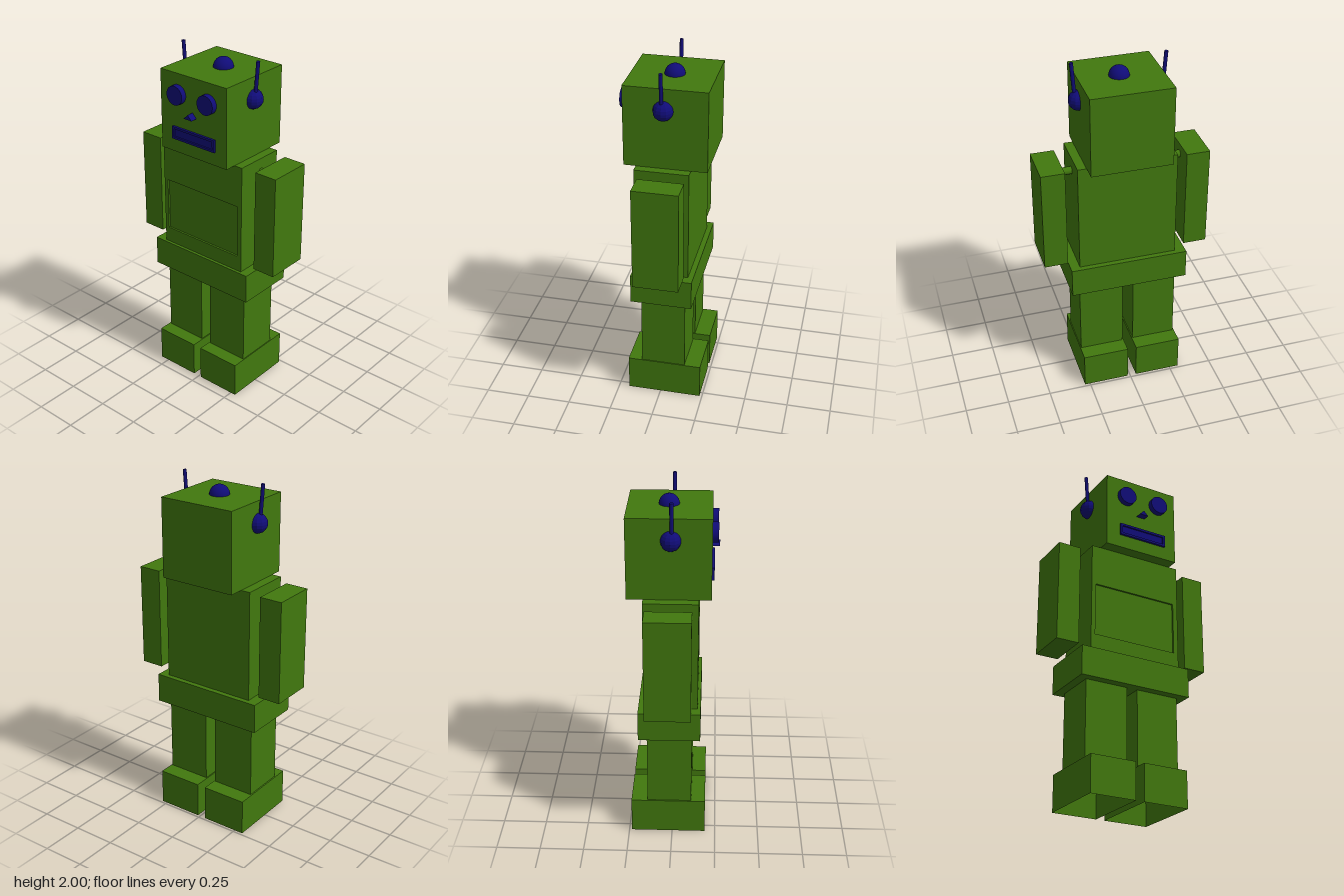
import * as THREE from 'three';

const green = new THREE.MeshStandardMaterial({ color: 0x41780e });
const greenThin = new THREE.MeshStandardMaterial({ color: 0x41780e, side: THREE.DoubleSide });
const navy = new THREE.MeshStandardMaterial({ color: 0x100c78 });
const navyFlat = new THREE.MeshStandardMaterial({ color: 0x100c78, flatShading: true });

export function createModel() {
  const robot = new THREE.Group();
  robot.name = 'robot';

  const add = (name, geometry, material) => {
    const mesh = new THREE.Mesh(geometry, material);
    mesh.name = name;
    robot.add(mesh);
    return mesh;
  };

  // Block given by its limits on each axis
  const block = (name, [x0, x1], [y0, y1], [z0, z1], material = green) => {
    const mesh = add(name, new THREE.BoxGeometry(x1 - x0, y1 - y0, z1 - z0), material);
    mesh.position.set((x0 + x1) / 2, (y0 + y1) / 2, (z0 + z1) / 2);
    return mesh;
  };

  // Rectangular frame around an opening, raised between two depths
  const frame = (name, [x0, x1], [y0, y1], hole, [z0, z1], material) => {
    const rect = (path, a, b, c, d) =>
      path.moveTo(a, c).lineTo(b, c).lineTo(b, d).lineTo(a, d).closePath();
    const shape = rect(new THREE.Shape(), x0, x1, y0, y1);
    shape.holes.push(rect(new THREE.Path(), ...hole));
    const mesh = add(name, new THREE.ExtrudeGeometry(shape, { depth: z1 - z0, bevelEnabled: false }), material);
    mesh.position.z = z0;
  };

  // Round rod between two points
  const rod = (name, from, to, radius, sides, material) => {
    const a = new THREE.Vector3(...from), b = new THREE.Vector3(...to);
    const mesh = add(name, new THREE.CylinderGeometry(radius, radius, a.distanceTo(b), sides), material);
    mesh.position.copy(a).lerp(b, 0.5);
    mesh.quaternion.setFromUnitVectors(new THREE.Vector3(0, 1, 0), b.sub(a).normalize());
  };

  // Head, torso with a sunken chest panel, and hips
  block('head', [-0.23, 0.225], [1.455, 1.907], [-0.247, 0.208]);
  block('torso', [-0.285, 0.275], [0.82, 1.455], [-0.158, 0.13]);
  frame('chestFrame', [-0.285, 0.275], [0.82, 1.455], [-0.26, 0.246, 0.91, 1.217], [0.13, 0.141], green);
  block('hips', [-0.346, 0.328], [0.65, 0.82], [-0.188, 0.158]);

  // Arms hung on shoulder rods
  block('rightArm', [-0.475, -0.342], [0.85, 1.438], [-0.145, 0.108]);
  block('leftArm', [0.339, 0.472], [0.85, 1.438], [-0.145, 0.108]);
  rod('rightShoulderRod', [-0.345, 1.376, -0.021], [-0.28, 1.376, -0.021], 0.022, 10, green);
  rod('leftShoulderRod', [0.27, 1.376, -0.021], [0.342, 1.376, -0.021], 0.022, 10, green);

  // Legs, and feet that are hollow shells open underneath
  const legs = { right: [[-0.295, -0.043], [-0.303, -0.037]], left: [[0.022, 0.276], [0.015, 0.281]] };
  for (const [side, [legX, footX]] of Object.entries(legs)) {
    block(side + 'Leg', legX, [0.208, 0.65], [-0.142, 0.11]);
    const foot = block(side + 'Foot', footX, [0, 0.21], [-0.235, 0.19], greenThin);
    const faces = Array.from(foot.geometry.index.array);
    faces.splice(18, 6); // drop the underside
    foot.geometry.setIndex(faces);
  }

  // Eyes
  for (const [name, x] of [['rightEye', -0.106], ['leftEye', 0.104]]) {
    rod(name, [x, 1.792, 0.2], [x, 1.792, 0.24], 0.054, 24, navy);
  }

  // Nose: small triangular prism
  const noseShape = new THREE.Shape();
  noseShape.moveTo(-0.034, 1.685).lineTo(0.02, 1.685).lineTo(-0.007, 1.713).closePath();
  add('nose', new THREE.ExtrudeGeometry(noseShape, { depth: 0.045, bevelEnabled: false }), navyFlat).position.z = 0.203;

  // Mouth: rim around a sunken panel
  block('mouthPanel', [-0.14, 0.145], [1.537, 1.598], [0.2, 0.212], navy);
  frame('mouthRim', [-0.145, 0.15], [1.533, 1.604], [-0.131, 0.136, 1.546, 1.591], [0.2, 0.221], navy);

  // Ear balls with antennas leaning slightly outward
  for (const [side, s, x] of [['right', -1, -0.229], ['left', 1, 0.224]]) {
    add(side + 'Ear', new THREE.SphereGeometry(0.055, 12, 10), navyFlat).position.set(x, 1.786, -0.009);
    rod(side + 'Antenna', [s * 0.241, 1.8, -0.004], [s * 0.256, 2, -0.004], 0.0105, 10, navy);
  }

  // Dome lamp on top of the head
  const lamp = add('topLamp', new THREE.SphereGeometry(0.056, 20, 8, 0, Math.PI * 2, 0, Math.PI / 2), navy);
  lamp.position.set(0.007, 1.906, -0.025);

  return robot;
}
